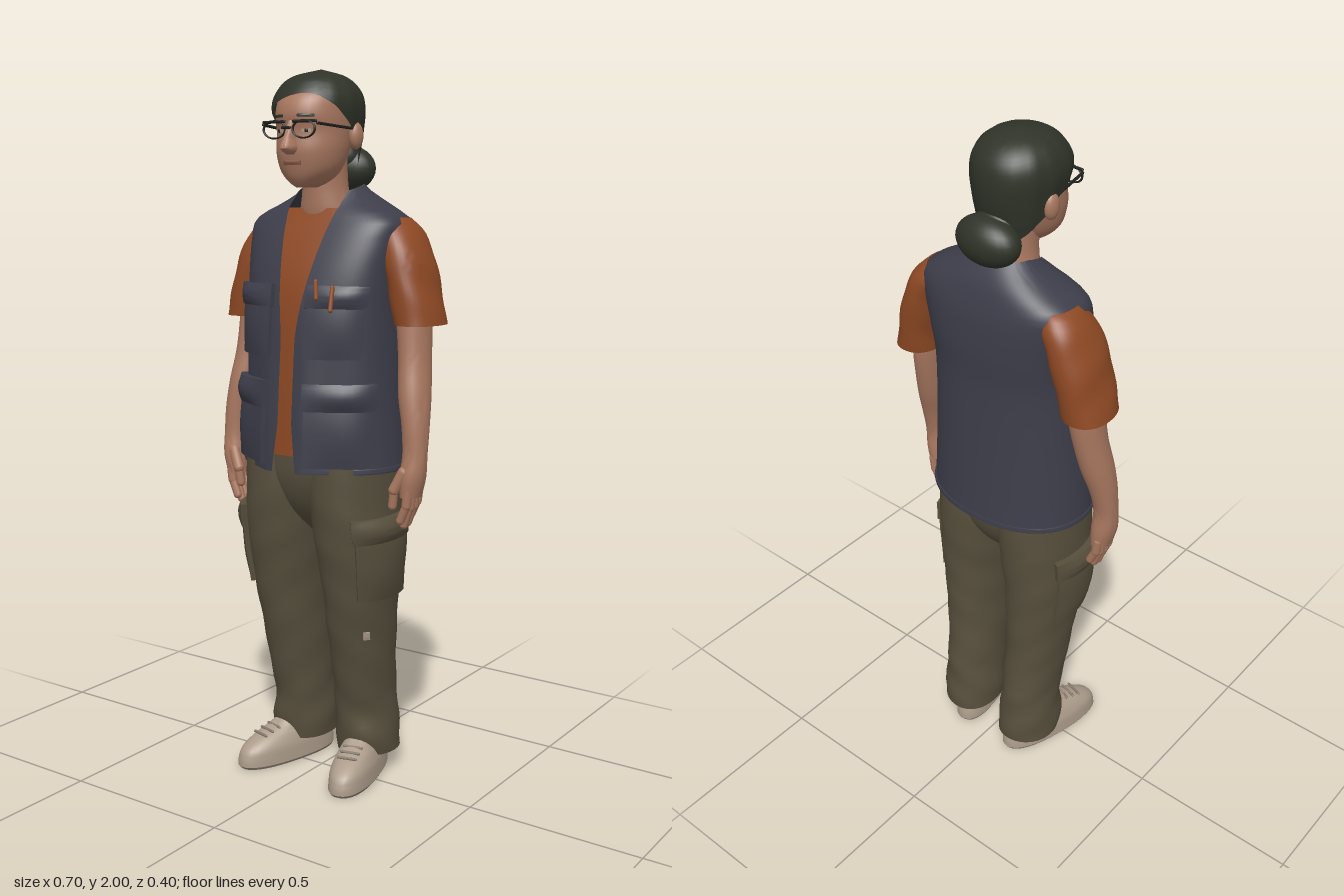
import * as THREE from 'three';
import { toCreasedNormals } from 'three/addons/utils/BufferGeometryUtils.js';

const flat = (name, color) => Object.assign(new THREE.MeshStandardMaterial({ color, side: THREE.DoubleSide }), { name });
const spow = (v, e) => Math.sign(v) * Math.pow(Math.abs(v), e);
const clamp = v => Math.min(Math.max(v, 0), 1);

// Smoothly interpolates rows of [y, centre x, half width, front z, back z, optional squareness]
function sample(rows, y) {
  y = Math.min(Math.max(y, rows[0][0]), rows[rows.length - 1][0]);
  let i = 0;
  while (i < rows.length - 2 && y > rows[i + 1][0]) i++;
  const a = rows[i], b = rows[i + 1], h = b[0] - a[0], u = (y - a[0]) / h;
  const p = rows[i - 1] || a, q = rows[i + 2] || b;
  return a.map((v, k) => {
    const m0 = (b[k] - p[k]) / (b[0] - p[0]) * h, m1 = (q[k] - v) / (q[0] - a[0]) * h;
    const u2 = u * u, u3 = u2 * u;
    return (2 * u3 - 3 * u2 + 1) * v + (u3 - 2 * u2 + u) * m0 + (3 * u2 - 2 * u3) * b[k] + (u3 - u2) * m1;
  });
}

// Surface of rounded cross-sections; t runs from the front (+z) towards +x
const surface = (rows, round = 2, warp) => (t, y) => {
  const [, cx, rx, f, b, n = round] = sample(rows, y);
  const p = new THREE.Vector3(cx + rx * spow(Math.sin(t), 2 / n), y, (f + b) / 2 + (f - b) / 2 * spow(Math.cos(t), 2 / n));
  if (warp) warp(p, t, y, cx, (f + b) / 2);
  return p;
};

function grid(nu, nv, point, caps) {
  const pos = [], idx = [], w = nu + 1;
  for (let j = 0; j <= nv; j++) for (let i = 0; i <= nu; i++) pos.push(...point(i, j).toArray());
  for (let j = 0; j < nv; j++) for (let i = 0; i < nu; i++) {
    const a = j * w + i;
    idx.push(a, a + 1, a + w + 1, a, a + w + 1, a + w);
  }
  if (caps) for (const j of [0, nv]) {
    const c = new THREE.Vector3(), k = pos.length / 3;
    for (let i = 0; i < nu; i++) c.add(point(i, j));
    pos.push(...c.divideScalar(nu).toArray());
    for (let i = 0; i < nu; i++) j ? idx.push(k, j * w + i, j * w + i + 1) : idx.push(k, i + 1, i);
  }
  const g = new THREE.BufferGeometry();
  g.setAttribute('position', new THREE.Float32BufferAttribute(pos, 3));
  g.setIndex(idx);
  return toCreasedNormals(g, 0.9);
}

// Closed form between two heights
const solid = (s, y0, y1, nv = 24, nu = 36) =>
  grid(nu, nv, (i, j) => s(i / nu * Math.PI * 2, y0 + (y1 - y0) * j / nv), true);

// Softly raised plate lying on a surface
function panel(s, t0, t1, y0, y1, d, n = 8) {
  const m = n + 2, at = k => clamp((k - 1) / n);
  return grid(m, m, (i, j) => {
    const u = at(i), v = at(j), t = t0 + (t1 - t0) * u, y = y0 + (y1 - y0) * v, e = 0.003;
    const nrm = s(t + e, y).sub(s(t - e, y)).cross(s(t, y + e).sub(s(t, y - e))).normalize();
    const rim = i === 0 || j === 0 || i === m || j === m;
    const rise = d * (.65 + .45 * Math.sin(u * Math.PI) * Math.sin(v * Math.PI));
    return s(t, y).addScaledVector(nrm, rim ? -0.004 : rise);
  });
}

function rod(a, b, r) {
  const A = new THREE.Vector3(...a), B = new THREE.Vector3(...b), d = B.clone().sub(A);
  const g = new THREE.CapsuleGeometry(r, d.length(), 4, 10);
  g.applyQuaternion(new THREE.Quaternion().setFromUnitVectors(new THREE.Vector3(0, 1, 0), d.normalize()));
  return g.translate(...A.add(B).multiplyScalar(0.5).toArray());
}

const ball = (x, y, z, rx, ry, rz) => new THREE.SphereGeometry(1, 24, 16).scale(rx, ry, rz).translate(x, y, z);

// Mirrored copy across x with corner order restored
function mirrored(geo) {
  const g = (geo.index ? geo.toNonIndexed() : geo.clone()).scale(-1, 1, 1);
  for (const a of Object.values(g.attributes)) for (let i = 0; i < a.count; i += 3) for (let k = 0; k < a.itemSize; k++) {
    const v = a.getComponent(i + 1, k);
    a.setComponent(i + 1, k, a.getComponent(i + 2, k));
    a.setComponent(i + 2, k, v);
  }
  return g;
}

export function createModel() {
  const model = new THREE.Group();
  model.name = 'standingPerson';
  const skin = flat('skin', 0xa97860), hair = flat('hair', 0x2f3328), vest = flat('vest', 0x3d3e4a);
  const shirt = flat('shirt', 0x8e4924), pants = flat('trousers', 0x574f3d), shoe = flat('shoe', 0xac9c8a);
  const sole = flat('sole', 0x85796d), dark = flat('spectacleFrame', 0x20221f), lip = flat('lips', 0x8f5e4c);
  const add = (name, geo, mat) => {
    const m = new THREE.Mesh(geo, mat);
    m.name = name;
    model.add(m);
  };
  const pair = (name, geo, mat) => {
    add(name + 'Left', geo, mat);
    add(name + 'Right', mirrored(geo), mat);
  };

  // Head and neck
  const head = surface([[1.685, 0, .024, .105, .04], [1.7, 0, .05, .122, 0], [1.73, 0, .078, .135, -.03],
    [1.78, 0, .093, .146, -.06], [1.83, 0, .097, .142, -.08], [1.88, 0, .098, .15, -.09],
    [1.93, 0, .09, .128, -.085], [1.97, 0, .05, .07, -.05]], 2.15);
  add('head', solid(head, 1.685, 1.97, 28), skin);
  add('neck', solid(surface([[1.55, 0, .085, .03, -.1], [1.62, 0, .078, .046, -.1], [1.68, 0, .063, .05, -.085],
    [1.78, 0, .06, .06, -.08]]), 1.55, 1.78, 10), skin);
  add('nose', solid(surface([[1.771, 0, .012, .16, .1], [1.785, 0, .022, .184, .1], [1.81, 0, .015, .174, .1],
    [1.86, 0, .011, .15, .1]]), 1.771, 1.86, 12, 16), skin);
  add('lips', panel(head, -.3, .3, 1.744, 1.755, .005), lip);
  pair('ear', ball(.109, 1.822, -.004, .018, .036, .024), skin);
  pair('eye', panel(head, .3, .56, 1.828, 1.838, .003, 4), shoe);
  pair('pupil', panel(head, .39, .47, 1.828, 1.838, .006, 4), dark);
  pair('eyebrow', panel(head, .22, .68, 1.868, 1.875, .005, 6), hair);

  // Swept-back hair with a low bun
  const hairCap = surface([[1.7, 0, .075, .04, -.09], [1.78, 0, .102, .1, -.106], [1.84, 0, .113, .135, -.118],
    [1.9, 0, .12, .15, -.12], [1.945, 0, .107, .129, -.106], [1.98, 0, .069, .085, -.064], [2, 0, .0005, .004, .003]], 2.1,
  (p, t) => { p.x *= 1 + .012 * Math.sin(t * 14); });
  const hairline = t => {
    const c = Math.cos(t);
    return c > 0 ? 1.82 + .104 * Math.pow(c, .75) + .03 * c * Math.sin(t) : 1.82 + .11 * c;
  };
  add('hair', grid(56, 24, (i, j) => {
    const t = i / 56 * Math.PI * 2, y = hairline(t);
    return hairCap(t, y + (2 - y) * Math.sin(j / 24 * Math.PI / 2));
  }), hair);
  add('hairBun', ball(0, 1.738, -.115, .095, .066, .06), hair);
  add('hairKnot', ball(0, 1.77, -.085, .06, .05, .042), hair);

  // Spectacles
  pair('lensFrame', new THREE.TorusGeometry(.036, .0035, 6, 24).scale(1, .64, 1).translate(.048, 1.836, .152), dark);
  pair('browBar', rod([.015, 1.856, .153], [.085, 1.856, .15], .004), dark);
  pair('temple', rod([.089, 1.85, .147], [.11, 1.84, 0], .004), dark);
  add('bridge', rod([-.012, 1.84, .165], [.012, 1.84, .165], .004), dark);

  // Vest with an open front, and the shirt beneath
  const torso = [[.915, 0, .245, .165, -.2, 2.15], [1, 0, .24, .163, -.195, 2.15], [1.2, 0, .229, .158, -.185, 2.25],
    [1.35, 0, .224, .15, -.18, 2.4], [1.45, 0, .228, .131, -.184, 2.6], [1.55, 0, .238, .092, -.18, 2.8],
    [1.598, 0, .235, .066, -.17, 2.8], [1.64, 0, .17, .045, -.157, 2.6], [1.675, 0, .112, .032, -.137, 2.5],
    [1.695, 0, .092, .025, -.122, 2.4]];
  const vestSurface = surface(torso, 2, (p, t, y) => {
    const low = clamp((1.45 - y) / .4);
    if (p.z > 0) p.z += .024 * low * Math.exp(-(((Math.abs(p.x) - .05) / .05) ** 2));
    p.y -= .025 * clamp((y - 1.62) / .075) * clamp((p.z + .07) / .09);
  });
  const edge = y => {
    const x = .023 + .06 * clamp((y - 1.28) / .36) ** 1.2 + .016 * clamp((1.05 - y) / .13);
    const [, , rx, , , n] = sample(torso, y);
    return Math.asin(Math.pow(Math.min(x / rx, .95), n / 2));
  };
  add('vest', grid(60, 44, (i, j) => {
    const y = .915 + .78 * j / 44, a = edge(y);
    return vestSurface(a + (Math.PI * 2 - 2 * a) * i / 60, y);
  }), vest);
  const inner = torso.map(([y, x, r, f, b, n]) => [y, x, r - .014, f - .013, b + .013, n]);
  add('shirt', solid(surface(inner), .955, 1.63, 30), shirt);

  // Vest pockets and flaps
  pair('chestPocket', panel(vestSurface, .2, 1, 1.23, 1.4, .017), vest);
  pair('chestFlap', panel(vestSurface, .18, 1.04, 1.365, 1.425, .024), vest);
  pair('hipPocket', panel(vestSurface, .25, 1.12, .935, 1.12, .023), vest);
  pair('hipFlap', panel(vestSurface, .23, 1.17, 1.09, 1.165, .03), vest);
  pair('vestHem', panel(vestSurface, .22, Math.PI, .917, .932, .004, 24), vest);
  add('penOne', rod([.1, 1.395, .17], [.094, 1.44, .163], .006), shirt);
  add('penTwo', rod([.147, 1.365, .172], [.143, 1.425, .156], .006), shirt);

  // Sleeves, arms and hands
  pair('sleeve', solid(surface([[1.32, .287, .064, .03, -.142], [1.42, .265, .061, .032, -.152],
    [1.5, .242, .06, .028, -.155], [1.565, .214, .056, .01, -.148], [1.605, .192, .038, -.015, -.125]], 2.2,
  (p, t, y) => { p.x += .002 * Math.sin(y * 50 + t * 2); }), 1.32, 1.605, 20), shirt);
  pair('arm', solid(surface([[.855, .3, .027, .044, -.034], [.91, .306, .035, .048, -.036], [.97, .31, .034, .038, -.032],
    [1.05, .305, .037, .036, -.05], [1.13, .292, .043, .03, -.075], [1.22, .28, .043, .013, -.096],
    [1.3, .272, .045, .006, -.108], [1.42, .26, .05, 0, -.11]]), .855, 1.42, 30, 24), skin);
  [.032, .013, -.006, -.024].forEach((z, k) => {
    const drop = [.015, 0, .004, .024][k];
    pair('fingerBase' + k, rod([.307, .875, z], [.302, .825 + drop / 2, z], .0135), skin);
    pair('fingerTip' + k, rod([.302, .825 + drop / 2, z], [.284, .774 + drop, z], .012), skin);
  });
  pair('thumb', rod([.293, .925, .035], [.27, .875, .044], .016), skin);
  pair('thumbTip', rod([.27, .875, .044], [.264, .83, .042], .012), skin);

  // Trousers with diagonal creases, cargo pockets and a knee patch
  const leg = surface([[.065, .113, .088, .016, -.18], [.12, .113, .088, .03, -.181], [.2, .111, .081, .032, -.174],
    [.4, .116, .086, .075, -.155], [.6, .121, .1, .115, -.155], [.72, .118, .113, .135, -.16],
    [.82, .112, .114, .148, -.168], [.96, .107, .113, .15, -.165]], 2.1, (p, t, y, cx, cz) => {
    const k = 1 + (y < .25 ? .022 : .009) * (Math.sin(y * 48 + 3 * t) + .7 * Math.sin(y * 29 - 2 * t)) * clamp((.96 - y) * 4);
    p.x = cx + (p.x - cx) * k;
    p.z = cz + (p.z - cz) * k;
  });
  pair('trouserLeg', solid(leg, .065, .96, 50), pants);
  add('trouserSeat', solid(surface([[.72, 0, .03, .03, -.06], [.77, 0, .08, .085, -.11], [.83, 0, .14, .122, -.146],
    [.9, 0, .185, .142, -.162], [1, 0, .195, .144, -.164]], 2.4), .72, 1, 16), pants);
  pair('cargoPocket', panel(leg, .62, 2.08, .555, .755, .021), pants);
  pair('cargoFlap', panel(leg, .57, 2.13, .725, .79, .028), pants);
  add('kneePatch', panel(leg, .75, .95, .432, .456, .004, 4), shoe);

  // Shoes turned slightly outwards
  const place = g => g.rotateY(.25).translate(.13, 0, 0);
  pair('shoeTread', place(solid(surface([[0, 0, .058, .168, -.17], [.008, 0, .061, .173, -.173]], 2.4), 0, .008, 2)), sole);
  pair('shoeUpper', place(solid(surface([[.008, 0, .063, .175, -.175], [.028, 0, .062, .173, -.174], [.055, 0, .06, .16, -.168],
    [.08, 0, .053, .12, -.162], [.105, 0, .045, .055, -.155], [.13, 0, .038, .01, -.145]], 2.3), .008, .13, 16)), shoe);
  [.05, .075, .1].forEach((z, k) =>
    pair('lace' + k, place(rod([-.026, .118 - z * .28, z], [.026, .118 - z * .28, z], .004)), sole));

  return model;
}
